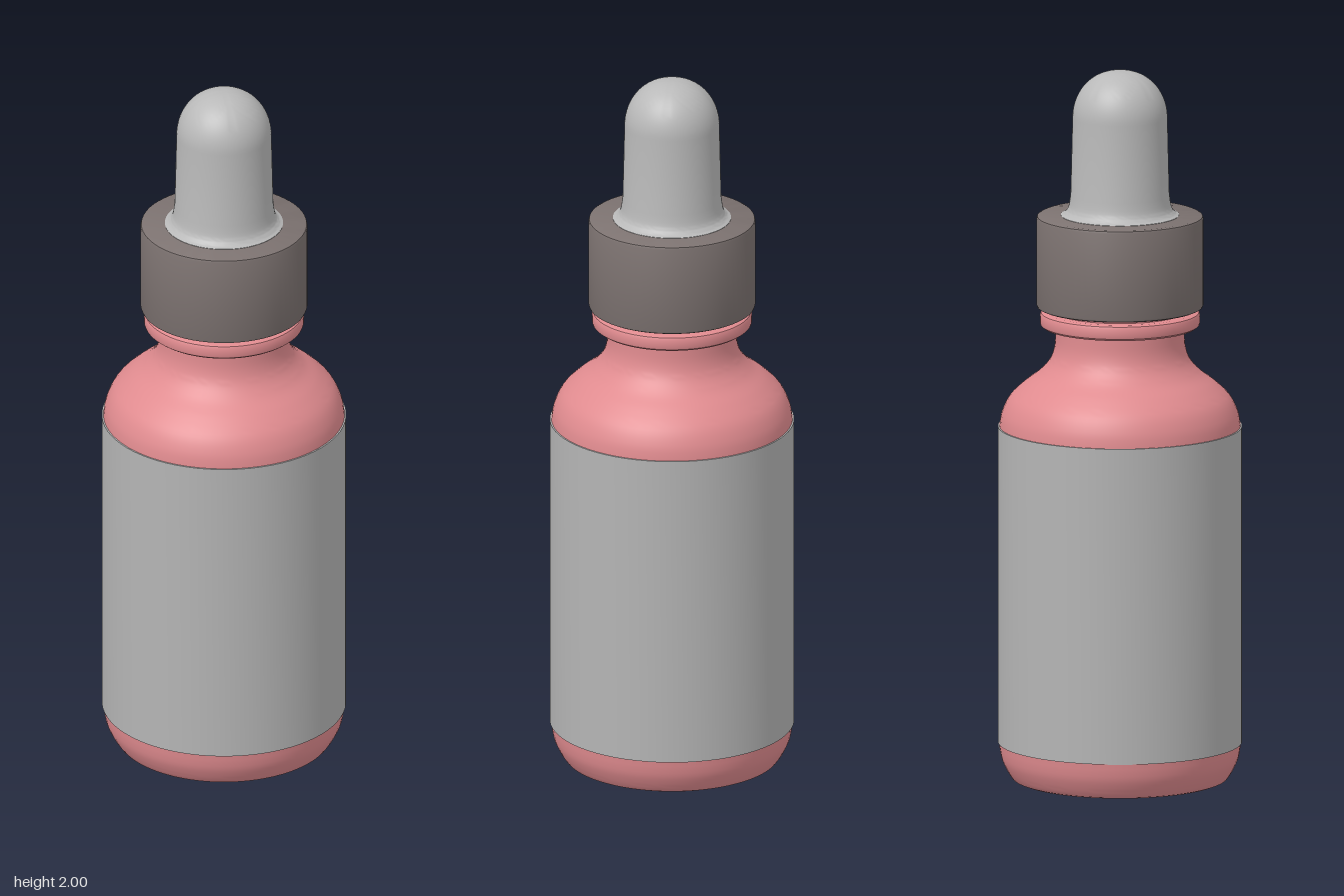
import * as THREE from 'three';
import { toCreasedNormals } from 'three/addons/utils/BufferGeometryUtils.js';

const material = (name, color) => {
  const m = new THREE.MeshStandardMaterial({ color });
  m.name = name;
  return m;
};

// Smooth run of profile points through a few [radius, height] pairs
const curve = (pairs, n = 16) =>
  new THREE.SplineCurve(pairs.map(([r, y]) => new THREE.Vector2(r, y))).getPoints(n);
// Straight-edged profile points
const line = (pairs) => pairs.map(([r, y]) => new THREE.Vector2(r, y));

// Turned part, profile given from bottom to top
function turned(name, points, mat) {
  const geometry = toCreasedNormals(new THREE.LatheGeometry(points, 72), 0.6);
  const mesh = new THREE.Mesh(geometry, mat);
  mesh.name = name;
  return mesh;
}

export function createModel() {
  const glass = material('pink glass', 0xe08b8f);
  const rubber = material('grey rubber', 0xb9b9b9);
  const paper = material('grey paper', 0xb4b4b4);
  const plastic = material('dark cap plastic', 0x7c7270);

  const model = new THREE.Group();
  model.name = 'dropperBottle';

  // Bottle: base, rounded heel, straight wall, shoulder, neck and collar
  model.add(turned('bottle', [
    ...line([[0, 0], [0.285, 0.011]]),
    ...curve([[0.297, 0.016], [0.311, 0.037], [0.326, 0.07], [0.333, 0.108]], 12),
    ...curve([[0.333, 1.0], [0.326, 1.04], [0.305, 1.083], [0.265, 1.122],
      [0.222, 1.155], [0.193, 1.19], [0.18, 1.23], [0.178, 1.282]], 32),
    ...line([[0.211, 1.282], [0.219, 1.288], [0.221, 1.295], [0.221, 1.315],
      [0.218, 1.322], [0.21, 1.326], [0.186, 1.326], [0.186, 1.36], [0, 1.36]]),
  ], glass));

  // Label wrapped round the straight wall
  model.add(turned('label',
    line([[0.332, 0.116], [0.337, 0.116], [0.337, 1.003], [0.332, 1.003]]), paper));

  // Screw cap with softened rims
  model.add(turned('cap', line([
    [0, 1.336], [0.222, 1.336], [0.228, 1.339], [0.23, 1.345],
    [0.23, 1.586], [0.228, 1.592], [0.222, 1.595], [0, 1.595],
  ]), plastic));

  // Squeeze bulb: flared foot, slightly tapered wall, domed top
  const dome = [];
  for (let i = 0; i <= 20; i++) {
    const a = (i / 20) * Math.PI / 2;
    dome.push(new THREE.Vector2(0.131 * Math.cos(a) ** 0.9, 1.868 + 0.132 * Math.sin(a)));
  }
  dome[20].x = 0;
  model.add(turned('bulb', [
    ...line([[0.163, 1.59]]),
    ...curve([[0.163, 1.596], [0.15, 1.604], [0.141, 1.622], [0.136, 1.66]], 12),
    ...dome,
  ], rubber));

  return model;
}
